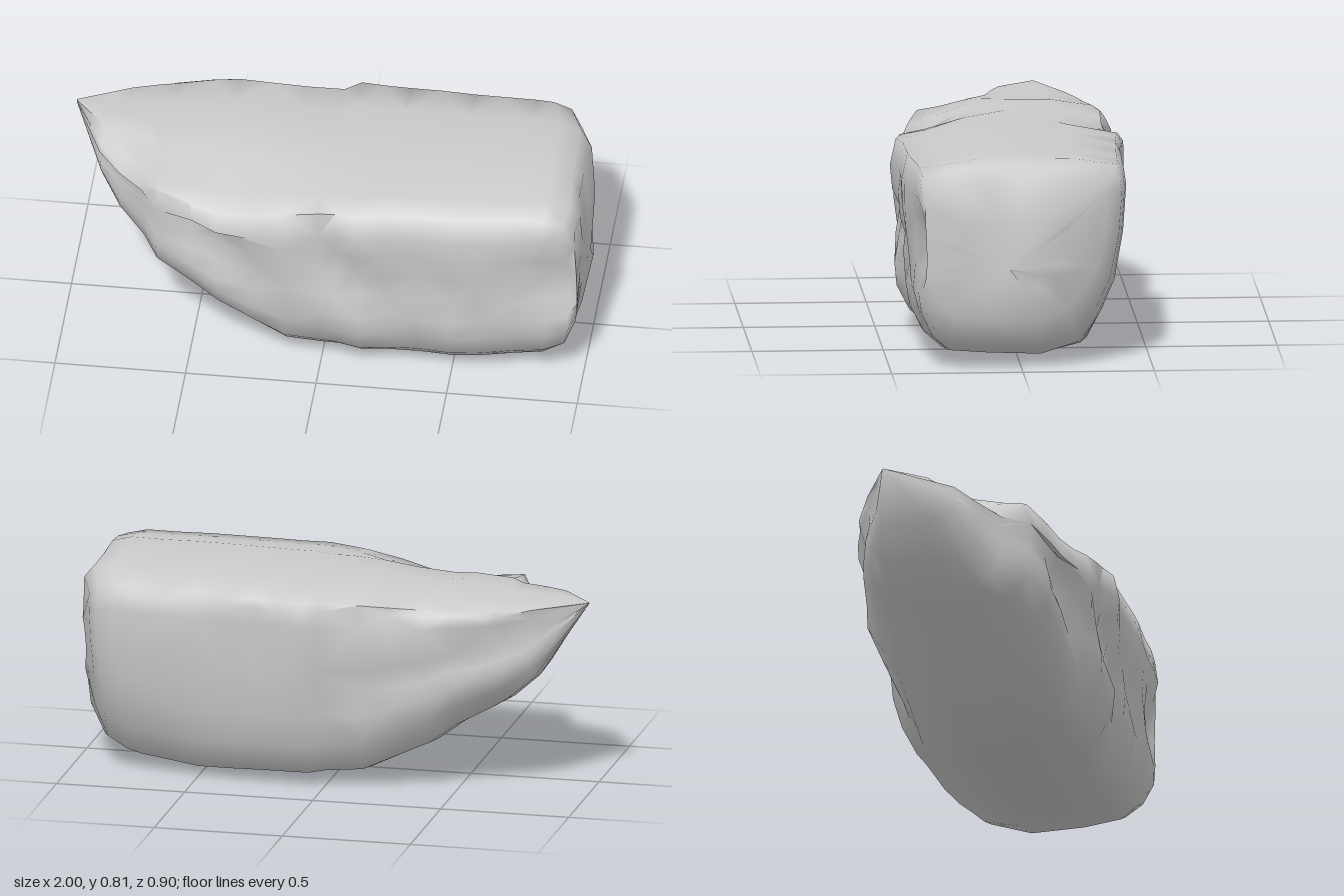
import * as THREE from 'three';
import { toCreasedNormals } from 'three/addons/utils/BufferGeometryUtils.js';

// Cross-sections along the length: x, bottom, top, back z, front z
const stations = [
  [-1.0, 0.755, 0.76, -0.17, -0.16],
  [-0.88, 0.58, 0.763, -0.25, 0.08],
  [-0.8, 0.45, 0.766, -0.3, 0.15],
  [-0.7, 0.36, 0.768, -0.34, 0.22],
  [-0.64, 0.32, 0.77, -0.36, 0.32],
  [-0.5, 0.24, 0.785, -0.39, 0.365],
  [-0.4, 0.165, 0.785, -0.415, 0.385],
  [-0.27, 0.1, 0.787, -0.41, 0.405],
  [-0.14, 0.035, 0.79, -0.405, 0.425],
  [0.0, 0.025, 0.792, -0.405, 0.43],
  [0.06, 0.022, 0.794, -0.455, 0.435],
  [0.15, 0.018, 0.796, -0.445, 0.455],
  [0.25, 0.016, 0.8, -0.435, 0.435],
  [0.37, 0.012, 0.803, -0.43, 0.43],
  [0.5, 0.005, 0.805, -0.42, 0.43],
  [0.6, 0.015, 0.807, -0.415, 0.425],
  [0.74, 0.03, 0.808, -0.41, 0.41],
  [0.86, 0.045, 0.81, -0.4, 0.405],
  [0.935, 0.09, 0.79, -0.385, 0.4],
  [0.97, 0.2, 0.735, -0.33, 0.37],
  [0.985, 0.32, 0.58, -0.17, 0.22],
  [0.99, 0.4, 0.41, 0.04, 0.06],
];

// Section outline: across (-1 back, 1 front), height (0 bottom, 1 top)
const outline = [
  [-0.92, 0.945], [-0.98, 0.905], [-1, 0.83], [-0.97, 0.6], [-0.93, 0.48],
  [-0.91, 0.36], [-0.83, 0.2], [-0.7, 0.05], [-0.2, 0], [0.3, 0.015],
  [0.67, 0.025], [0.83, 0.1], [0.94, 0.22], [0.99, 0.33], [0.985, 0.45],
  [0.99, 0.58], [1, 0.7], [1, 0.82], [0.95, 0.95], [0.7, 0.97],
  [0.35, 1], [-0.05, 0.995], [-0.5, 0.99],
];

const { smoothstep } = THREE.MathUtils;
const bump = (d, width) => Math.exp(-(d * d) / (width * width));

function rockPoint([x, low, high, back, front], [u, v]) {
  let y = low + (high - low) * v;
  let z = (back + front) / 2 + ((front - back) / 2) * u;
  let px = x;

  if (u > 0.6 && x < 0.96) {
    // Slanting hollows and ridges across the front
    const mid = bump(v - 0.5, 0.3);
    const slant = x + y * 0.8;
    z -= 0.055 * bump(slant - 0.03, 0.11) * mid;
    z -= 0.06 * bump(slant - 0.48, 0.11) * mid;
    z -= 0.03 * bump(slant - 0.8, 0.1) * mid;
    // Hollow beside the blunt end
    z -= 0.06 * bump(x - 0.93, 0.16) * bump(y - 0.47, 0.14);
  }
  if (v > 0.8) {
    // Top dips towards the front above the pointed end
    y -= 0.08 * bump(x + 0.38, 0.26) * smoothstep(u, 0, 0.95);
    // Lowered shelf at the front of the pointed end
    if (x < -0.66 && x > -0.95) y -= 0.07 * smoothstep(u, 0.3, 0.9);
  }
  if (u < -0.6 && v < 0.93) {
    // Layered ledges under the pointed end
    if (x < -0.05 && x > -0.95) z += 0.008 + 0.02 * Math.sin(y * 22 + x * 9);
    // Facet leaning inwards on the upper back
    z += 0.03 * bump(x - 0.25, 0.2) * bump(v - 0.8, 0.1);
    // Undercut at the lower back towards the blunt end
    z += 0.14 * smoothstep(x, 0.3, 0.8) * Math.max(0, 0.42 - v);
  }
  // The blunt end turns away towards the back and under the base
  if (x > 0.7) {
    const fade = smoothstep(x, 0.7, 0.9);
    px -= fade * 0.22 * Math.max(0, -z - 0.12);
    px -= fade * 0.45 * Math.max(0, 0.6 - y) * Math.max(0, -z - 0.05);
    px -= fade * 0.1 * Math.max(0, 0.2 - y);
    px += fade * 0.012 * Math.sin(z * 16 + y * 5);
  }
  return [px, y, z];
}

function rockGeometry() {
  const n = outline.length;
  const positions = [];
  const indices = [];
  for (const s of stations) for (const o of outline) positions.push(...rockPoint(s, o));
  for (let i = 0; i < stations.length - 1; i++) {
    for (let j = 0; j < n; j++) {
      const a = i * n + j;
      const b = i * n + ((j + 1) % n);
      const c = a + n;
      const d = b + n;
      // Diagonals alternate for an irregular broken surface
      if ((i + j) % 2) indices.push(a, c, b, b, c, d);
      else indices.push(a, c, d, a, d, b);
    }
  }
  // Close both ends
  const last = (stations.length - 1) * n;
  for (let j = 1; j < n - 1; j++) {
    indices.push(0, j, j + 1);
    indices.push(last, last + j + 1, last + j);
  }
  const geometry = new THREE.BufferGeometry();
  geometry.setAttribute('position', new THREE.Float32BufferAttribute(positions, 3));
  geometry.setIndex(indices);
  return toCreasedNormals(geometry, THREE.MathUtils.degToRad(75));
}

export function createModel() {
  const group = new THREE.Group();
  group.name = 'rock';
  const boulder = new THREE.Mesh(
    rockGeometry(),
    new THREE.MeshStandardMaterial({ color: 0xcccccc }),
  );
  boulder.name = 'boulder';
  // Stand the boulder on the ground
  boulder.geometry.computeBoundingBox();
  boulder.position.y = -boulder.geometry.boundingBox.min.y;
  group.add(boulder);
  return group;
}
